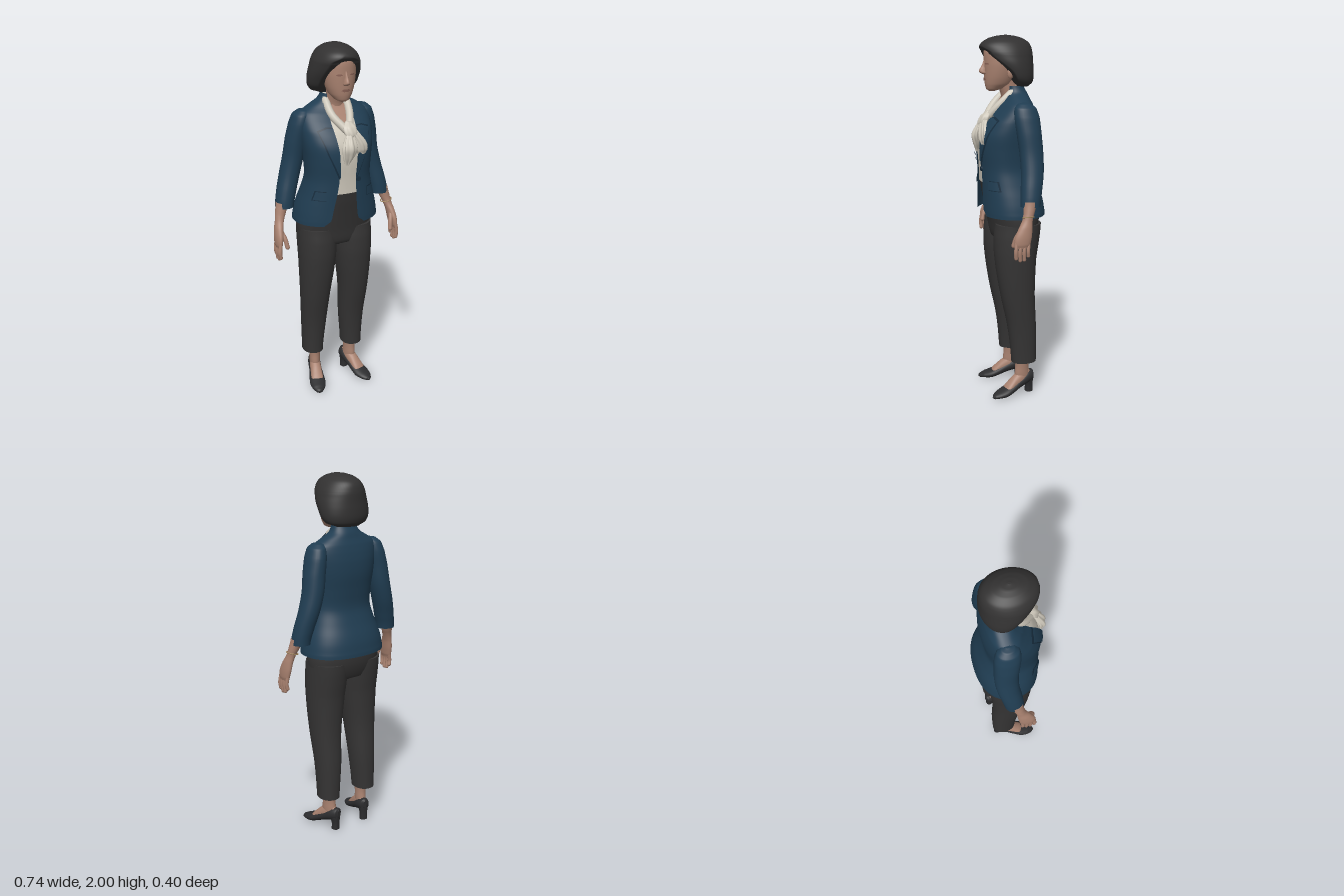
import * as THREE from 'three';

const mat = (name, color, side = THREE.FrontSide) => {
  const m = new THREE.MeshStandardMaterial({ color, side });
  m.name = name;
  return m;
};
const M = {
  jacket: mat('navy jacket', 0x203d52, THREE.DoubleSide),
  trim: mat('dark navy trim', 0x162c3d, THREE.DoubleSide),
  trousers: mat('charcoal trousers', 0x353434),
  skin: mat('skin', 0xa98270, THREE.DoubleSide),
  feature: mat('facial feature', 0x8a6357, THREE.DoubleSide),
  blouse: mat('cream blouse', 0xcfc9bc, THREE.DoubleSide),
  hair: mat('dark hair', 0x323131, THREE.DoubleSide),
  shoe: mat('black shoe', 0x2d2d2f),
  metal: mat('bracelet metal', 0xa58a62),
};

// Smoothly resample section rows (Catmull-Rom on every column), lowest first.
function smooth(rows, k = 5) {
  const r = [...rows].sort((a, b) => a[0] - b[0]);
  const out = [];
  for (let i = 0; i < r.length - 1; i++) {
    const p0 = r[Math.max(0, i - 1)], p1 = r[i], p2 = r[i + 1], p3 = r[Math.min(r.length - 1, i + 2)];
    for (let s = 0; s < k; s++) {
      const t = s / k;
      out.push(p1.map((v, c) => c === 0 ? v + (p2[0] - v) * t : 0.5 * (2 * v + (p2[c] - p0[c]) * t
        + (2 * p0[c] - 5 * v + 4 * p2[c] - p3[c]) * t * t + (3 * v - p0[c] - 3 * p2[c] + p3[c]) * t ** 3)));
    }
  }
  out.push(r[r.length - 1]);
  return out;
}

const pw = (v, n) => Math.sign(v) * Math.abs(v) ** (2 / n);

// Loft through sections [y, cx, cz, rx, rz]; span(row) gives the start and end angle.
function loft(name, material, rows, { n = 2, seg = 28, span = () => [0, Math.PI * 2], open = false, caps = true, ripple = 0, along = false } = {}) {
  const rings = smooth(rows), pos = [], idx = [], cols = open ? seg + 1 : seg;
  const partial = span(rings[0])[0] !== 0;
  for (const r of rings) {
    const [a0, a1] = span(r);
    for (let j = 0; j < cols; j++) {
      const a = a0 + (a1 - a0) * j / (partial ? cols - 1 : seg);
      const w = 1 + ripple * Math.cos(6 * a + r[0] * 25);
      pos.push(r[1] + pw(Math.sin(a), n) * r[3] * w, r[0], r[2] + pw(Math.cos(a), n) * r[4] * w);
    }
  }
  for (let i = 0; i < rings.length - 1; i++) for (let j = 0; j < seg; j++) {
    const a = i * cols + j, b = i * cols + (j + 1) % cols;
    idx.push(a, b, a + cols, b, b + cols, a + cols);
  }
  if (caps && !open) for (const top of [false, true]) {
    const i = top ? rings.length - 1 : 0, base = pos.length / 3;
    for (let j = 0; j < cols; j++) pos.push(...pos.slice((i * cols + j) * 3, (i * cols + j) * 3 + 3));
    pos.push(rings[i][1], rings[i][0], rings[i][2]);
    for (let j = 0; j < cols; j++) {
      const a = base + j, b = base + (j + 1) % cols;
      idx.push(base + cols, top ? a : b, top ? b : a);
    }
  }
  const g = new THREE.BufferGeometry();
  g.setAttribute('position', new THREE.Float32BufferAttribute(pos, 3));
  g.setIndex(idx);
  g.computeVertexNormals();
  if (along) g.rotateX(Math.PI / 2);
  return part(name, g, material);
}

function part(name, geometry, material, x = 0, y = 0, z = 0) {
  const m = new THREE.Mesh(geometry, material);
  m.name = name;
  m.position.set(x, y, z);
  return m;
}

// Front surface depth of a lofted body at x, y.
function frontZ(rings, n, x, y) {
  let i = 0;
  while (i < rings.length - 2 && rings[i + 1][0] < y) i++;
  const a = rings[i], b = rings[i + 1], t = THREE.MathUtils.clamp((y - a[0]) / (b[0] - a[0]), 0, 1);
  const [, cx, cz, rx, rz] = a.map((v, c) => v + (b[c] - v) * t);
  return cz + rz * (1 - Math.min(0.98, Math.abs((x - cx) / rx)) ** n) ** (1 / n);
}

// Thin panel laid on a lofted body; rows are [y, x start, x end].
function panel(name, material, body, n, rows, off) {
  const pos = [], idx = [], K = 6, U = 6;
  const rings = [...rows].sort((a, b) => a[0] - b[0]);
  const all = [];
  rings.forEach((r, i) => {
    if (i) for (let s = 1; s < K; s++) all.push(r.map((v, c) => rings[i - 1][c] + (v - rings[i - 1][c]) * s / K));
    all.push(r);
  });
  all.forEach(([y, xa, xb], i) => {
    for (let u = 0; u <= U; u++) {
      const x = Math.min(xa, xb) + Math.abs(xb - xa) * u / U;
      pos.push(x, y, frontZ(body, n, x, y) + off);
      if (i && u) {
        const d = i * (U + 1) + u, b = d - U - 1;
        idx.push(b - 1, b, d - 1, b, d, d - 1);
      }
    }
  });
  const g = new THREE.BufferGeometry();
  g.setAttribute('position', new THREE.Float32BufferAttribute(pos, 3));
  g.setIndex(idx);
  g.computeVertexNormals();
  return part(name, g, material);
}

function rod(name, material, pts, r) {
  const c = new THREE.CatmullRomCurve3(pts.map(p => new THREE.Vector3(...p)));
  const g = new THREE.Group();
  g.name = name;
  g.add(part(name + 'Shaft', new THREE.TubeGeometry(c, 14, r, 10), material));
  for (const p of [pts[0], pts[pts.length - 1]]) g.add(part(name + 'End', new THREE.SphereGeometry(r, 10, 8), material, ...p));
  return g;
}

export function createModel() {
  const root = new THREE.Group();
  root.name = 'standingWoman';
  const add = (...m) => root.add(...m);

  // Jacket body: last two columns are the x of its right and left front edges
  const coat = [
    [1.045, 0, -.02, .238, .175, -.13, .1], [1.075, 0, -.018, .235, .174, -.095, .065], [1.14, 0, -.012, .222, .168, -.08, .055],
    [1.22, 0, .003, .198, .154, -.062, .05], [1.3, 0, .015, .18, .143, -.05, .045], [1.4, 0, .015, .185, .15, -.052, .05],
    [1.48, 0, .008, .195, .152, -.056, .056], [1.55, 0, -.008, .2, .135, -.062, .066], [1.6, 0, -.025, .198, .11, -.065, .07],
    [1.64, 0, -.036, .185, .088, -.062, .07], [1.67, 0, -.042, .14, .07, -.06, .066], [1.7, 0, -.042, .088, .06, -.055, .06],
    [1.735, 0, -.035, .07, .05, -.05, .05]];
  const N = 2.3, coatRings = smooth(coat);
  const edge = (x, rx) => Math.asin(Math.min(0.99, Math.abs(x) / rx) ** (N / 2));
  add(loft('jacketBody', M.jacket, coat, { n: N, seg: 56, open: true,
    span: r => [edge(r[6], r[3]), Math.PI * 2 - edge(r[5], r[3])] }));

  // Blouse under the jacket, bare throat, button placket
  const inner = coat.filter(r => r[0] > 1.2 && r[0] < 1.71).map(r => [r[0], 0, r[2], r[3] * .95, r[4] * .95]);
  const innerRings = smooth(inner);
  add(loft('blouse', M.blouse, inner, { n: N, seg: 40 }));
  add(panel('throat', M.skin, innerRings, N, [[1.68, -.04, .04], [1.62, -.03, .03], [1.55, -.002, .002]], .005));
  add(panel('placket', M.blouse, innerRings, N, [[1.25, -.015, .01], [1.5, -.015, .01]], .006));

  // Lapels, collar, pocket flaps
  for (const s of [-1, 1]) {
    const side = (name, m, rows, off) => add(panel(name, m, coatRings, N, rows.map(([y, a, b]) => [y, a * s, b * s]), off));
    side('lapelShadow', M.trim, [[1.31, .046, .054], [1.45, .055, .113], [1.565, .068, .149], [1.58, .07, .105]], .004);
    side('lapel', M.jacket, [[1.32, .046, .05], [1.45, .054, .107], [1.56, .066, .143], [1.575, .07, .1]], .009);
    side('collar', M.jacket, [[1.585, .07, .118], [1.62, .068, .12], [1.66, .064, .105], [1.69, .06, .085]], .009);
    side('pocketShadow', M.trim, [[1.19, .118, .184], [1.243, .118, .168]], .003);
    side('pocketFlap', M.jacket, [[1.195, .12, .18], [1.24, .12, .165]], .008);
  }
  const button = part('jacketButton', new THREE.CylinderGeometry(.013, .013, .008, 16).rotateX(Math.PI / 2), M.trim, .058, 1.3, frontZ(coatRings, N, .058, 1.3) + .008);
  add(button);

  // Tied scarf: neck bands, knot, two rippled tails
  for (const s of [-1, 1]) add(rod('scarfBand', M.blouse, [[.05 * s, 1.715, -.03], [.058 * s, 1.68, .015], [.05 * s, 1.63, .065], [.012 + .012 * s, 1.565, .12]], .021));
  add(loft('scarfKnot', M.blouse, [[1.52, .02, .15, .015, .015], [1.545, .02, .14, .034, .028], [1.58, .02, .125, .036, .026], [1.605, .02, .11, .015, .012]], { ripple: .08 }));
  add(loft('scarfLongTail', M.blouse, [[1.385, -.012, .165, .01, .008], [1.43, -.004, .17, .028, .018], [1.48, .002, .173, .036, .024], [1.54, .012, .15, .022, .018], [1.57, .018, .13, .012, .01]], { ripple: .16, seg: 36 }));
  add(loft('scarfShortTail', M.blouse, [[1.435, .075, .155, .022, .012], [1.46, .07, .158, .035, .018], [1.5, .062, .155, .036, .02], [1.55, .04, .14, .026, .018], [1.585, .026, .12, .012, .01]], { ripple: .16, seg: 36 }));

  // Trousers hips
  add(loft('trouserHips', M.trousers, [[.88, 0, -.02, .09, .05], [.91, 0, -.024, .19, .108], [1, 0, -.03, .215, .132], [1.1, 0, -.02, .207, .142], [1.2, 0, .002, .185, .14], [1.25, 0, .01, .172, .138]], { n: 2.2, seg: 40 }));

  for (const s of [-1, 1]) {
    const limb = (name, m, rows, o) => add(loft((s > 0 ? 'left' : 'right') + name, m, rows.map(r => [r[0], r[1] * s, ...r.slice(2)]), o));
    limb('TrouserLeg', M.trousers, [[.2, .124, -.06, .058, .07], [.4, .119, -.05, .07, .08], [.6, .118, -.025, .083, .096], [.8, .11, -.015, .1, .115], [.92, .107, -.022, .106, .126], [1, .105, -.03, .108, .126]], { n: 2.2 });
    limb('Sleeve', M.jacket, [[1.13, .287, -.042, .05, .053], [1.2, .274, -.05, .053, .056], [1.3, .247, -.064, .055, .06], [1.4, .222, -.066, .056, .063], [1.5, .207, -.058, .056, .066], [1.58, .192, -.05, .053, .068], [1.63, .181, -.045, .045, .058], [1.652, .17, -.043, .03, .035], [1.657, .165, -.043, .008, .01]], { n: 2.1 });
    limb('ForearmAndPalm', M.skin, [[.925, .352, .022, .012, .034], [.945, .351, .021, .018, .043], [.985, .347, .014, .022, .045], [1.03, .34, .001, .023, .036], [1.065, .33, -.012, .024, .028], [1.1, .319, -.023, .029, .029], [1.16, .302, -.036, .035, .037]]);

    // Fingers and thumb
    const tips = [.862, .85, .852, .872];
    tips.forEach((y, i) => {
      const z = .054 - i * .022;
      add(rod('finger', M.skin, [[s * .351, .95, z], [s * .357, .905, z + .004], [s * .353, y + .01, z + .002]], .0105));
    });
    add(rod('thumb', M.skin, [[s * .338, 1.02, .018], [s * .322, .975, .045], [s * .314, .93, .058]], .0125));

    // Foot, ankle and heeled shoe, toes turned out
    const foot = new THREE.Group();
    foot.name = s > 0 ? 'leftFoot' : 'rightFoot';
    foot.position.set(.127 * s, 0, 0);
    foot.rotation.y = .26 * s;
    foot.add(
      loft('ankle', M.skin, [[.07, 0, -.06, .028, .045], [.12, 0, -.056, .03, .044], [.17, 0, -.055, .031, .04], [.25, 0, -.055, .037, .045]]),
      loft('instep', M.skin, [[-.1, 0, -.1, .024, .035], [-.05, 0, -.095, .031, .045], [0, 0, -.07, .033, .038], [.04, 0, -.045, .035, .026], [.07, 0, -.03, .028, .012]], { along: true }),
      loft('shoeUpper', M.shoe, [[-.128, 0, -.1, .01, .022], [-.118, 0, -.097, .028, .034], [-.08, 0, -.088, .036, .038], [-.03, 0, -.066, .037, .032], [.02, 0, -.042, .043, .028], [.06, 0, -.027, .046, .025], [.1, 0, -.019, .036, .018], [.125, 0, -.013, .02, .012], [.134, 0, -.011, .006, .006]], { along: true }),
      loft('shoeHeel', M.shoe, [[0, 0, -.102, .021, .021], [.04, 0, -.102, .021, .021], [.09, 0, -.096, .03, .03]], { n: 2.6 }));
    add(foot);
  }

  const bracelet = part('bracelet', new THREE.TorusGeometry(.031, .003, 8, 28).rotateX(Math.PI / 2), M.metal, .325, 1.08, -.018);
  bracelet.rotation.z = .25;
  add(bracelet);

  // Neck and head
  add(loft('neck', M.skin, [[1.6, 0, -.025, .06, .055], [1.68, 0, -.018, .052, .05], [1.74, 0, .0, .05, .052], [1.8, 0, .01, .055, .055]]));
  const head = [[1.708, 0, .085, .018, .016], [1.718, 0, .073, .038, .042], [1.745, 0, .052, .06, .07], [1.78, 0, .044, .074, .081], [1.82, 0, .038, .083, .089],
    [1.86, 0, .035, .087, .093], [1.92, 0, .031, .084, .095], [1.95, 0, .02, .07, .085], [1.98, 0, .01, .03, .04]];
  const headRings = smooth(head);
  add(loft('head', M.skin, head, { n: 2.1, seg: 36 }));
  add(loft('nose', M.skin, [[1.795, 0, .122, .01, .008], [1.803, 0, .128, .017, .02], [1.815, 0, .13, .015, .025], [1.84, 0, .125, .009, .017], [1.87, 0, .122, .007, .008]]));
  add(panel('lips', M.feature, headRings, 2.1, [[1.764, -.012, .012], [1.771, -.027, .027], [1.778, -.014, .014]], .004));
  for (const s of [-1, 1]) {
    add(panel('eye', M.feature, headRings, 2.1, [[1.848, .026 * s, .046 * s], [1.852, .019 * s, .053 * s], [1.856, .026 * s, .046 * s]], .003));
    const ear = part('ear', new THREE.SphereGeometry(.026, 14, 10), M.skin, s * .09, 1.805, .008);
    ear.scale.set(.45, 1.1, .7);
    add(ear);
  }

  // Bobbed hair: last two columns are the degrees left open on the right and left of the face
  const hair = [[1.732, 0, -.072, .07, .04, 60, 65], [1.75, 0, -.056, .116, .075, 58, 70], [1.78, -.003, -.04, .137, .1, 50, 74], [1.82, -.004, -.026, .142, .115, 45, 70],
    [1.86, -.004, -.01, .139, .129, 41, 57], [1.9, -.005, .002, .13, .14, 35, 42], [1.92, -.006, .007, .123, .142, 31, 37], [1.945, -.006, .01, .109, .138, 8, 12],
    [1.965, -.006, .01, .092, .122, 2, 2], [1.985, -.005, .01, .063, .088, 2, 2], [1.996, -.003, .01, .032, .045, 2, 2], [2, 0, .01, .006, .008, 2, 2]];
  const rad = Math.PI / 180;
  add(loft('bobHair', M.hair, hair, { seg: 48, span: r => [r[6] * rad, Math.PI * 2 - r[5] * rad] }));

  return root;
}
